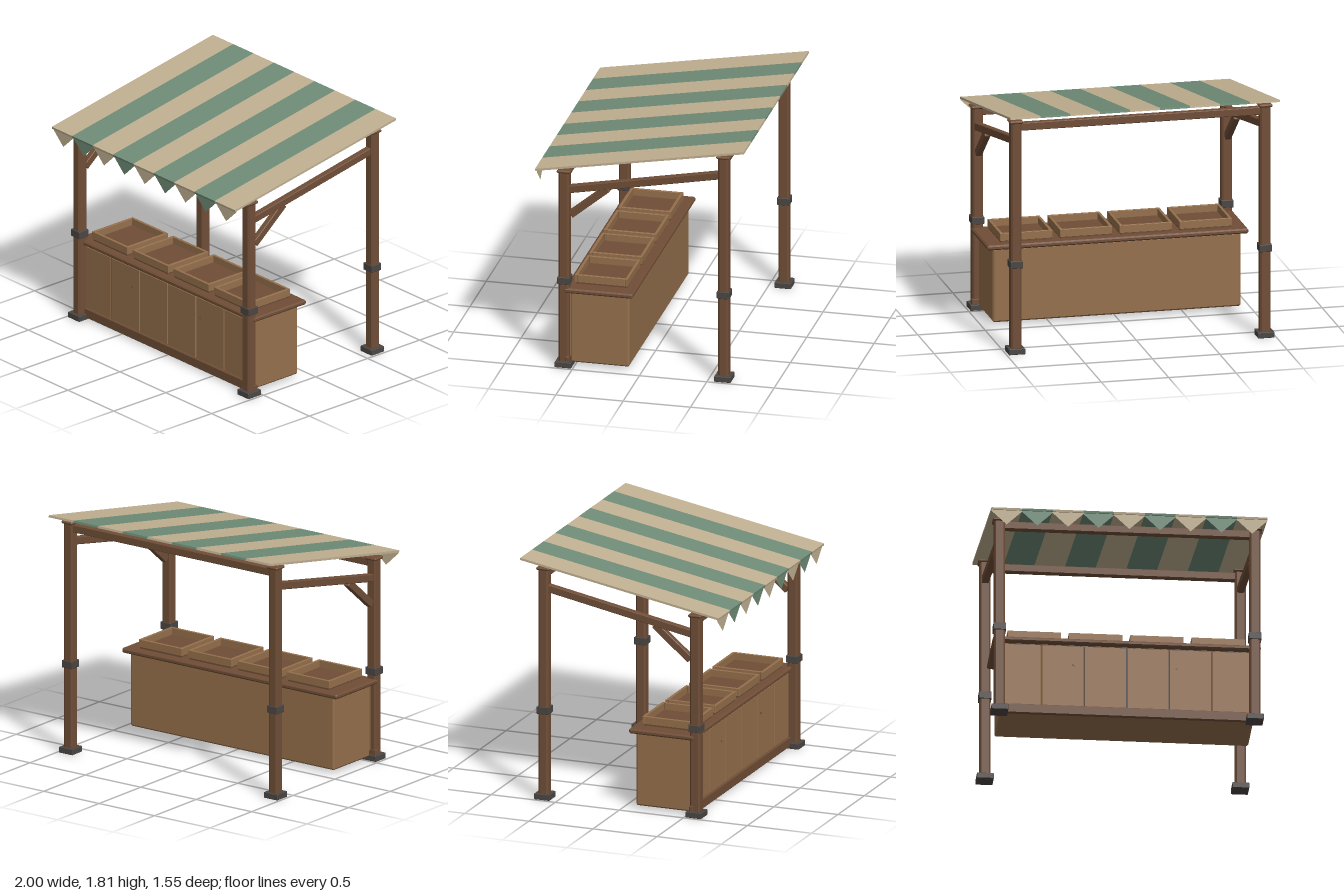
import * as THREE from 'three';
import { ConvexGeometry } from 'three/addons/geometries/ConvexGeometry.js';

const material = (name, color, extra = {}) => {
  const m = new THREE.MeshStandardMaterial({ color, ...extra });
  m.name = name;
  return m;
};

// Box with chamfered edges: the hull of 24 corner points
function chamferBox(w, h, d, c) {
  const points = [];
  const half = [w / 2, h / 2, d / 2];
  for (const sx of [-1, 1]) for (const sy of [-1, 1]) for (const sz of [-1, 1]) {
    for (let face = 0; face < 3; face++) {
      const [x, y, z] = half.map((v, i) => (i === face ? v : v - c));
      points.push(new THREE.Vector3(sx * x, sy * y, sz * z));
    }
  }
  return new ConvexGeometry(points);
}

export function createModel() {
  const model = new THREE.Group();
  model.name = 'marketStall';

  const timber = material('darkTimber', 0x704e37);
  const wood = material('lightWood', 0x95704c);
  const iron = material('iron', 0x4b4643);
  const gap = material('plankGap', 0x3f3a36);
  const cream = material('creamCloth', 0xc2b192, { side: THREE.DoubleSide });
  const green = material('greenCloth', 0x6f8c77, { side: THREE.DoubleSide });

  function add(name, geometry, mat, x, y, z, parent = model) {
    const mesh = new THREE.Mesh(geometry, mat);
    mesh.name = name;
    mesh.position.set(x, y, z);
    parent.add(mesh);
    return mesh;
  }
  // Chamfered box given by its bottom and top heights
  const block = (name, mat, w, d, y0, y1, x, z, c = 0.004, parent = model) =>
    add(name, chamferBox(w, y1 - y0, d, c), mat, x, (y0 + y1) / 2, z, parent);

  // Sloping timber between two [z, y] points
  function slopedBeam(name, x, a, b, width, height) {
    const dz = b[0] - a[0], dy = b[1] - a[1];
    const beam = add(name, chamferBox(width, height, Math.hypot(dz, dy), 0.004), timber,
      x, (a[1] + b[1]) / 2, (a[0] + b[0]) / 2);
    beam.rotation.x = Math.atan2(dy, -dz);
  }

  // Posts with iron feet and collars, and a cap
  for (const side of [-1, 1]) {
    const x = side * 0.925;
    for (const [row, z, top] of [['front', 0.572, 1.53], ['back', -0.612, 1.75]]) {
      const post = new THREE.Group();
      post.name = row + 'Post';
      model.add(post);
      block('postShaft', timber, 0.078, 0.078, 0.02, top - 0.01, x, z, 0.012, post);
      block('postCap', timber, 0.1, 0.1, top - 0.022, top, x, z, 0.008, post);
      block('postFoot', iron, 0.122, 0.122, 0, 0.043, x, z, 0.003, post);
      block('postCollar', iron, 0.092, 0.092, 0.642, 0.697, x, z, 0.003, post);
    }
    slopedBeam('sideBeam', x, [0.55, 1.374], [-0.59, 1.592], 0.05, 0.055);
    slopedBeam('brace', x, [0.527, 1.18], [0.25, 1.41], 0.045, 0.055);
  }
  block('frontCrossBeam', timber, 1.82, 0.05, 1.455, 1.512, 0, 0.572);
  block('backCrossBeam', timber, 1.82, 0.05, 1.67, 1.727, 0, -0.612);

  // Counter
  const counter = new THREE.Group();
  counter.name = 'counter';
  model.add(counter);
  block('counterBody', wood, 1.84, 0.435, 0.025, 0.58, 0, 0.313, 0.012, counter);
  block('counterTop', timber, 1.94, 0.51, 0.577, 0.613, 0, 0.314, 0.01, counter);
  block('baseBoard', timber, 1.94, 0.03, 0.012, 0.083, 0, 0.545, 0.004, counter);
  add('plankGaps', new THREE.BoxGeometry(1.8, 0.49, 0.004), gap, 0, 0.325, 0.531, counter);
  const plankStep = 0.308;
  for (let i = 0; i < 6; i++) {
    block('frontPlank', wood, plankStep - 0.009, 0.016, 0.07, 0.562,
      (i - 2.5) * plankStep, 0.534, 0.002, counter);
  }
  for (const x of [-0.385, 0.36]) {
    add('peg', new THREE.BoxGeometry(0.012, 0.012, 0.006), timber, x, 0.41, 0.543, counter);
  }

  // Open display trays
  for (let i = 0; i < 4; i++) {
    const tray = new THREE.Group();
    tray.name = 'displayTray';
    tray.position.set((i - 1.5) * 0.444, 0, 0.317);
    model.add(tray);
    block('trayFloor', timber, 0.375, 0.38, 0.61, 0.631, 0, 0, 0.002, tray);
    for (const s of [-1, 1]) {
      block('trayLongWall', wood, 0.388, 0.02, 0.625, 0.683, 0, s * 0.186, 0.002, tray);
      block('traySideWall', wood, 0.02, 0.352, 0.625, 0.683, s * 0.184, 0, 0.002, tray);
    }
  }

  // Striped sloping canopy with a pointed valance
  const stripes = 9, stripeWidth = 2 / stripes;
  const rise = 0.277, run = 1.548;
  const canopy = new THREE.Group();
  canopy.name = 'canopy';
  canopy.position.y = 1.667;
  canopy.rotation.x = Math.atan2(rise, run);
  model.add(canopy);
  const stripeGeometry = new THREE.BoxGeometry(stripeWidth, 0.016, Math.hypot(rise, run));
  const pennant = new THREE.ShapeGeometry(new THREE.Shape([
    new THREE.Vector2(-stripeWidth / 2, 0.013),
    new THREE.Vector2(-stripeWidth / 2, 0),
    new THREE.Vector2(0, -0.105),
    new THREE.Vector2(stripeWidth / 2, 0),
    new THREE.Vector2(stripeWidth / 2, 0.013),
  ]));
  for (let i = 0; i < stripes; i++) {
    const cloth = i % 2 ? green : cream;
    const x = (i - (stripes - 1) / 2) * stripeWidth;
    add('canopyStripe', stripeGeometry, cloth, x, 0, 0, canopy);
    add('valancePennant', pennant, cloth, x, 1.515, 0.762);
  }
  return model;
}
